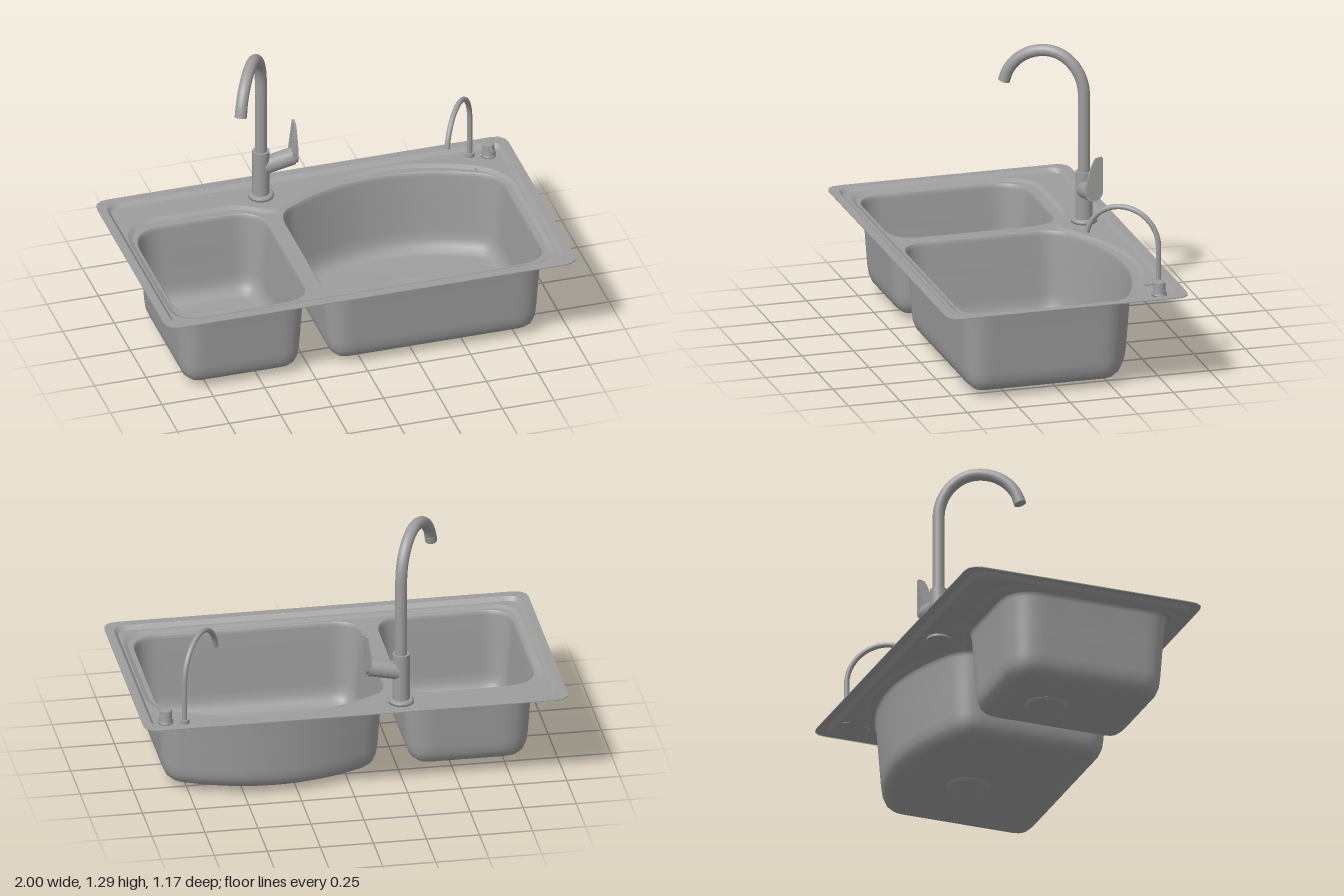
import * as THREE from 'three';

const steel = new THREE.MeshStandardMaterial({ color: 0x9d9d9d, side: THREE.DoubleSide });
const V2 = (x, y) => new THREE.Vector2(x, y);
const V3 = (x, y, z) => new THREE.Vector3(x, y, z);

// Closed plan outline (x, z) from corners [x, z, rounding], listed front-left first
function outline(corners, count = 180) {
  const n = corners.length;
  const shape = new THREE.Shape();
  corners.forEach(([x, z, r], i) => {
    const c = V2(x, z);
    const toward = ([px, pz]) => V2(px, pz).sub(c).setLength(r).add(c);
    const a = toward(corners[(i + n - 1) % n]);
    const b = toward(corners[(i + 1) % n]);
    if (i === 0) shape.moveTo(a.x, a.y);
    else shape.lineTo(a.x, a.y);
    shape.quadraticCurveTo(c.x, c.y, b.x, b.y);
  });
  shape.closePath();
  const points = shape.getSpacedPoints(count);
  points.pop();
  return points;
}

const rect = (x, z0, z1, r) => outline([[-x, z1, r], [x, z1, r], [x, z0, r], [-x, z0, r]]);

// Move every outline point inward by d
function inset(points, d) {
  const n = points.length;
  return points.map((p, i) => {
    const t = points[(i + 1) % n].clone().sub(points[(i + n - 1) % n]).normalize();
    return V2(p.x + t.y * d, p.y - t.x * d);
  });
}

// Skin between rings of equal point count, each { points, y }
function loft(rings) {
  const n = rings[0].points.length;
  const pos = [], index = [];
  rings.forEach(({ points, y }) => points.forEach(p => pos.push(p.x, y, p.y)));
  for (let r = 0; r < rings.length - 1; r++) {
    for (let i = 0; i < n; i++) {
      const a = r * n + i, b = r * n + (i + 1) % n;
      index.push(a, a + n, b, b, a + n, b + n);
    }
  }
  const g = new THREE.BufferGeometry();
  g.setAttribute('position', new THREE.Float32BufferAttribute(pos, 3));
  g.setIndex(index);
  g.computeVertexNormals();
  return g;
}

// Flat sheet at height y with holes
function sheet(points, holes, y) {
  const shape = new THREE.Shape(points);
  holes.forEach(h => shape.holes.push(new THREE.Path(h)));
  return new THREE.ShapeGeometry(shape).rotateX(Math.PI / 2).translate(0, y, 0);
}

function add(parent, name, geometry, x = 0, y = 0, z = 0) {
  const mesh = new THREE.Mesh(geometry, steel);
  mesh.name = name;
  mesh.position.set(x, y, z);
  parent.add(mesh);
  return mesh;
}

const lathe = (pts, seg = 40) => new THREE.LatheGeometry(pts.map(p => V2(...p)), seg);

// Upright cylinder from y0 to y1
function post(parent, name, r, y0, y1, x, z) {
  return add(parent, name, new THREE.CylinderGeometry(r, r, y1 - y0, 32), x, (y0 + y1) / 2, z);
}

// Gooseneck: straight riser, then an arch leaning toward the tip
function gooseneck(parent, name, { x, z, dir, r, y0, rise, back, front, top }) {
  const at = (h, y) => V3(x + dir.x * h, y, z + dir.y * h);
  const pts = [at(0, y0), at(0, (y0 + rise) / 2), at(0, rise - 0.04)];
  for (let i = 0; i <= 16; i++) {
    const a = Math.PI * (1 - (i / 16) * 0.93);
    const reach = a > Math.PI / 2 ? back : front;
    pts.push(at(back + Math.cos(a) * reach, rise + Math.sin(a) * (top - rise)));
  }
  const curve = new THREE.CatmullRomCurve3(pts);
  add(parent, name, new THREE.TubeGeometry(curve, 90, r, 20));
  // Nozzle sleeve on the tip
  const end = curve.getPoint(1), t = curve.getTangent(1);
  const nozzle = add(parent, name + 'Nozzle', new THREE.CylinderGeometry(r * 1.02, r * 1.02, r * 1.2, 24));
  nozzle.position.copy(end).addScaledVector(t, -r * 0.5);
  nozzle.quaternion.setFromUnitVectors(V3(0, 1, 0), t);
}

export function createModel() {
  const model = new THREE.Group();
  model.name = 'doubleBowlSink';
  const Y = { rim: 0.462, deck: 0.443, recess: 0.432 };

  // Plan outlines
  const outer = rect(1, -0.587, 0.587, 0.07);
  const rimInner = rect(0.96, -0.545, 0.545, 0.06);
  const deckEdge = inset(rimInner, 0.018);
  const recessTop = outline([
    [-0.935, 0.51, 0.14], [0.935, 0.51, 0.14], [0.935, -0.32, 0.16], [0.38, -0.635, 0.5],
    [-0.22, -0.29, 0.08], [-0.34, -0.4, 0.1], [-0.935, -0.4, 0.2],
  ], 240);
  const recessEdge = inset(recessTop, 0.022);
  const bowls = [
    {
      name: 'rightBowl', drain: V2(-0.58, -0.04),
      edge: outline([[-0.903, 0.476, 0.145], [-0.26, 0.476, 0.145], [-0.26, -0.34, 0.16], [-0.903, -0.34, 0.18]]),
    },
    {
      name: 'leftBowl', drain: V2(0.38, -0.05),
      edge: outline([[-0.19, 0.476, 0.145], [0.892, 0.476, 0.145], [0.892, -0.305, 0.11], [0.355, -0.557, 0.47], [-0.19, -0.3, 0.11]]),
    },
  ];

  // Rim, deck and stepped recess
  const top = new THREE.Group();
  top.name = 'sinkTop';
  model.add(top);
  add(top, 'rim', sheet(outer, [rimInner], Y.rim));
  add(top, 'rimEdge', loft([{ points: outer, y: Y.rim }, { points: outer, y: Y.rim - 0.004 }]));
  add(top, 'rimStep', loft([{ points: rimInner, y: Y.rim }, { points: deckEdge, y: Y.deck }]));
  add(top, 'deck', sheet(deckEdge, [recessTop], Y.deck));
  add(top, 'recessStep', loft([{ points: recessTop, y: Y.deck }, { points: recessEdge, y: Y.recess }]));
  add(top, 'recessFloor', sheet(recessEdge, bowls.map(b => b.edge), Y.recess));

  // Bowls: walls, rounded base, floor blending into the drain dish
  const wall = [[0, 0.432], [0.004, 0.428], [0.009, 0.412], [0.02, 0.28], [0.031, 0.13], [0.037, 0.088],
    [0.051, 0.056], [0.072, 0.037], [0.098, 0.029]];
  const dish = [[0.15, 0.026], [0.135, 0.023], [0.118, 0.019], [0.1, 0.017]];
  for (const { name, drain, edge } of bowls) {
    const ring = r => edge.map(p => p.clone().sub(drain).setLength(r).add(drain));
    add(model, name, loft([
      ...wall.map(([d, y]) => ({ points: inset(edge, d), y })),
      ...dish.map(([r, y]) => ({ points: ring(r), y })),
    ]));
    add(model, name + 'Strainer', lathe([[0.1, 0.017], [0.094, 0.008], [0.082, 0.002], [0.075, 0], [0, 0]]), drain.x, 0, drain.y);
  }

  // Main faucet
  const faucet = new THREE.Group();
  faucet.name = 'faucet';
  model.add(faucet);
  const fx = -0.23, fz = -0.438;
  post(faucet, 'faucetNut', 0.055, 0.432, 0.445, fx, fz);
  add(faucet, 'faucetBase', lathe([[0, 0.443], [0.06, 0.443], [0.06, 0.455], [0.052, 0.462], [0.04, 0.462]]), fx, 0, fz);
  post(faucet, 'faucetBody', 0.04, 0.45, 0.69, fx, fz);
  gooseneck(faucet, 'spout', {
    x: fx, z: fz, dir: V2(-0.2, 0.33).normalize(), r: 0.028,
    y0: 0.68, rise: 1.06, back: 0.18, front: 0.208, top: 1.267,
  });

  // Side handle: tilted stub with an upright lever on its end
  const stub = add(faucet, 'handleStub', new THREE.CylinderGeometry(0.042, 0.042, 0.145, 32), -0.145, 0.619, fz);
  stub.rotation.z = -Math.PI / 2 + 0.2;
  const paddle = new THREE.Shape();
  paddle.moveTo(0.04, 0.64);
  paddle.lineTo(0.04, 0.8);
  paddle.quadraticCurveTo(0.04, 0.81, 0.03, 0.81);
  paddle.lineTo(0.005, 0.805);
  paddle.quadraticCurveTo(-0.03, 0.74, -0.04, 0.64);
  paddle.absarc(0, 0.64, 0.04, Math.PI, Math.PI * 2, false);
  const leverGeo = new THREE.ExtrudeGeometry(paddle, { depth: 1, steps: 1, bevelEnabled: false, curveSegments: 16 })
    .rotateY(Math.PI / 2);
  // Lever thickens toward the stub
  const lp = leverGeo.attributes.position;
  for (let i = 0; i < lp.count; i++) {
    const thick = 0.01 + 0.02 * THREE.MathUtils.clamp((0.8 - lp.getY(i)) / 0.14, 0, 1);
    lp.setX(i, -0.058 - (1 - lp.getX(i)) * thick);
  }
  leverGeo.computeVertexNormals();
  add(faucet, 'lever', leverGeo, 0, 0, fz);

  // Small filtered-water tap
  const tap = new THREE.Group();
  tap.name = 'filterTap';
  model.add(tap);
  post(tap, 'tapCollar', 0.022, 0.44, 0.462, 0.8, -0.488);
  gooseneck(tap, 'tapSpout', {
    x: 0.8, z: -0.488, dir: V2(-0.2, 0.29).normalize(), r: 0.0125,
    y0: 0.45, rise: 0.65, back: 0.178, front: 0.175, top: 0.828,
  });

  // Deck button beside the tap, with a thin pin facing forward
  add(model, 'deckButton', lathe([[0, 0.443], [0.036, 0.443], [0.036, 0.452], [0.029, 0.452], [0.029, 0.505], [0.026, 0.51], [0, 0.51]], 32), 0.885, 0, -0.467);
  add(model, 'buttonPin', new THREE.CylinderGeometry(0.004, 0.004, 0.05, 12).rotateX(Math.PI / 2), 0.885, 0.5, -0.418);

  return model;
}
